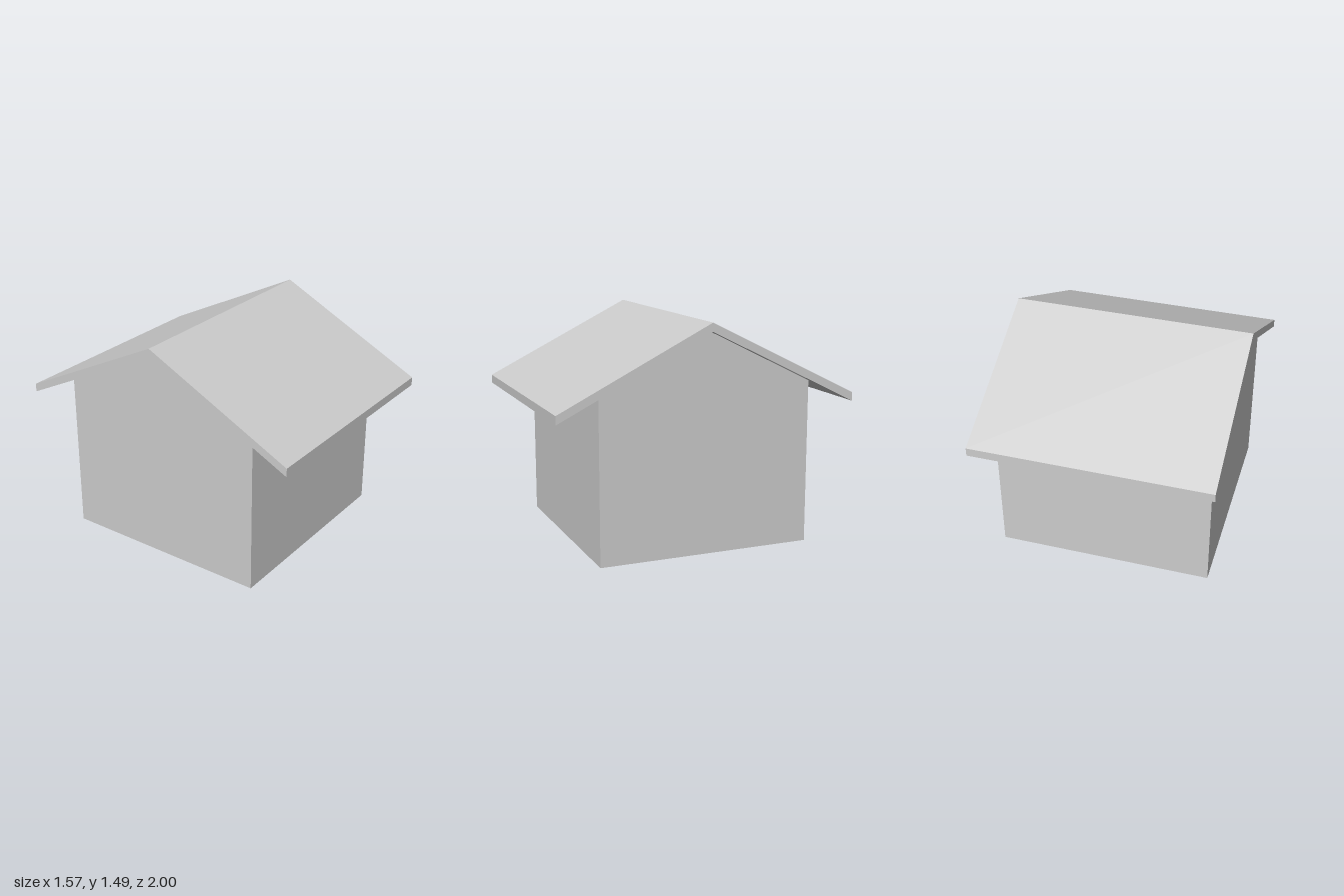
import * as THREE from 'three';

const material = new THREE.MeshStandardMaterial({ color: 0xcccccc, flatShading: true });

// Extrudes a gable-end outline, given as [z, y] points, along x and centres it
function gablePart(name, outline, length) {
  const shape = new THREE.Shape(outline.map(([z, y]) => new THREE.Vector2(z, y)));
  const geometry = new THREE.ExtrudeGeometry(shape, { depth: length, bevelEnabled: false });
  geometry.translate(0, 0, -length / 2);
  geometry.rotateY(-Math.PI / 2);
  const mesh = new THREE.Mesh(geometry, material);
  mesh.name = name;
  return mesh;
}

export function createModel() {
  const group = new THREE.Group();
  group.name = 'house';

  const wall = 0.713;       // half width of the body
  const ridge = 1.43;       // underside of the roof at the ridge
  const eave = 0.933;       // underside of the roof at the eaves
  const thickness = 0.056;  // vertical thickness of the roof
  const wallTop = ridge - (ridge - eave) * wall;

  // Body with pointed gable ends
  group.add(gablePart('body', [
    [-wall, 0], [wall, 0], [wall, wallTop], [0, ridge], [-wall, wallTop],
  ], wall * 2));

  // Overhanging roof with plumb-cut eaves
  group.add(gablePart('roof', [
    [-1, eave], [0, ridge], [1, eave],
    [1, eave + thickness], [0, ridge + thickness], [-1, eave + thickness],
  ], 1.57));

  return group;
}
